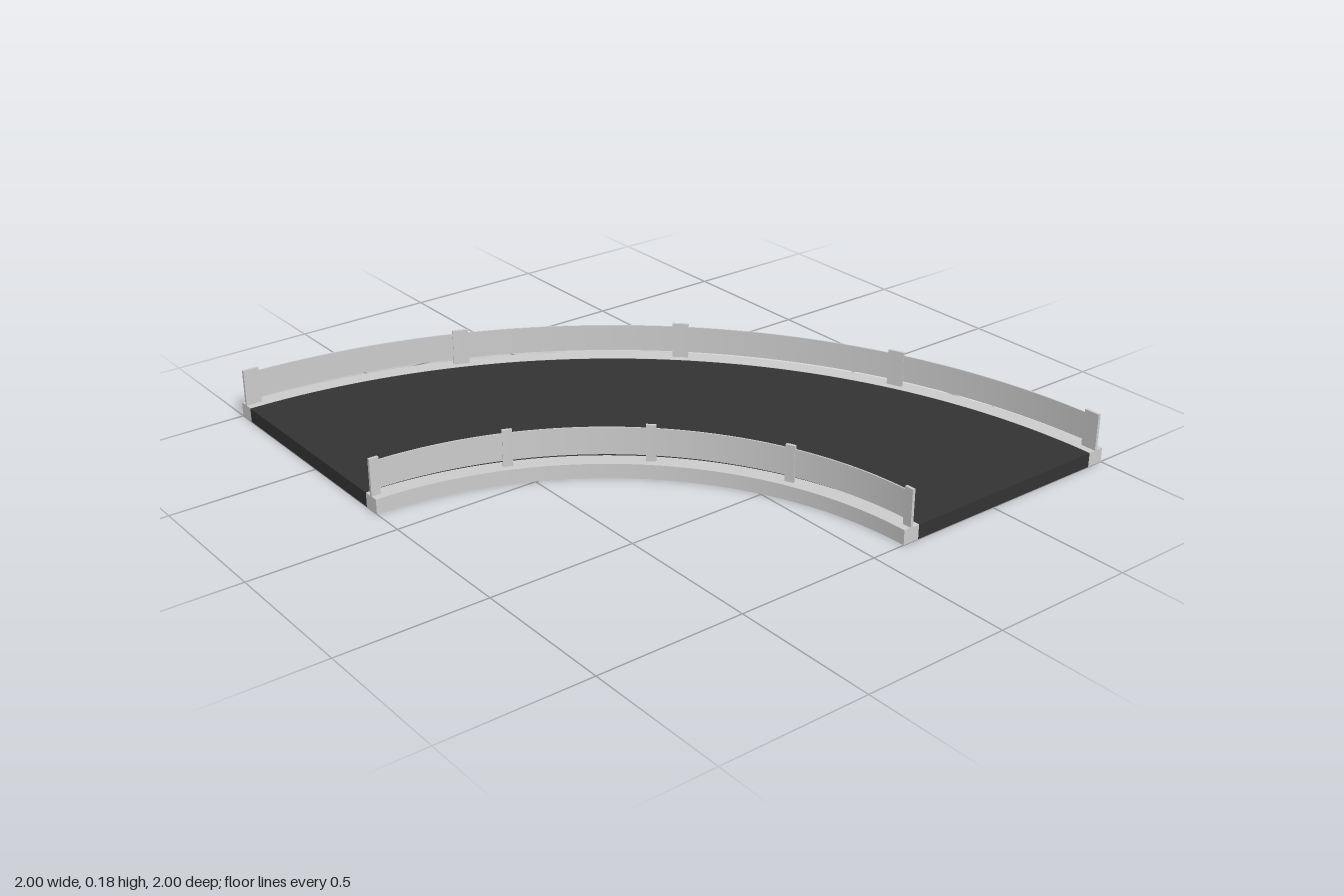
import * as THREE from 'three';
import { toCreasedNormals } from 'three/addons/utils/BufferGeometryUtils.js';

const QUARTER = Math.PI / 2;
const grey = new THREE.MeshStandardMaterial({ color: 0xcccccc });
const asphalt = new THREE.MeshStandardMaterial({ color: 0x333333 });

// Solid ring sector between two radii, two heights and two angles
function sector(name, material, r0, r1, y0, y1, a0 = 0, a1 = QUARTER, segments = 48) {
  const shape = new THREE.Shape();
  shape.absarc(0, 0, r1, QUARTER + a0, QUARTER + a1, false);
  shape.absarc(0, 0, r0, QUARTER + a1, QUARTER + a0, true);
  shape.closePath();
  const extruded = new THREE.ExtrudeGeometry(shape, {
    depth: y1 - y0, bevelEnabled: false, curveSegments: segments,
  });
  extruded.rotateX(-Math.PI / 2).translate(0, y0, 0);
  const mesh = new THREE.Mesh(toCreasedNormals(extruded, 0.5), material);
  mesh.name = name;
  return mesh;
}

// Kerb with a guard rail and its five posts
function roadside(name, kerbInner, kerbOuter) {
  const side = new THREE.Group();
  side.name = name;
  const mid = (kerbInner + kerbOuter) / 2;
  side.add(sector('kerb', grey, kerbInner, kerbOuter, 0, 0.05));
  side.add(sector('guardRail', grey, mid - 0.0025, mid + 0.0025, 0.07, 0.164));

  // Posts every 22.5 degrees; the end posts stay inside the section
  const width = 0.028;
  for (let i = 0; i <= 4; i++) {
    const centre = (i * QUARTER) / 4;
    const start = Math.min(Math.max(centre - width / 2, 0), QUARTER - width);
    side.add(sector('railPost', grey, mid - 0.005, mid + 0.005, 0.05, 0.176, start, start + width, 2));
  }
  return side;
}

export function createModel() {
  const model = new THREE.Group();
  model.name = 'curvedRoad';
  model.add(sector('roadSurface', asphalt, 1.18, 1.94, 0, 0.049));
  model.add(roadside('innerRoadside', 1.12, 1.18));
  model.add(roadside('outerRoadside', 1.94, 2));
  // Centre of the bend sits at the front left corner
  model.children.forEach((part) => part.position.set(1, 0, 1));
  return model;
}
